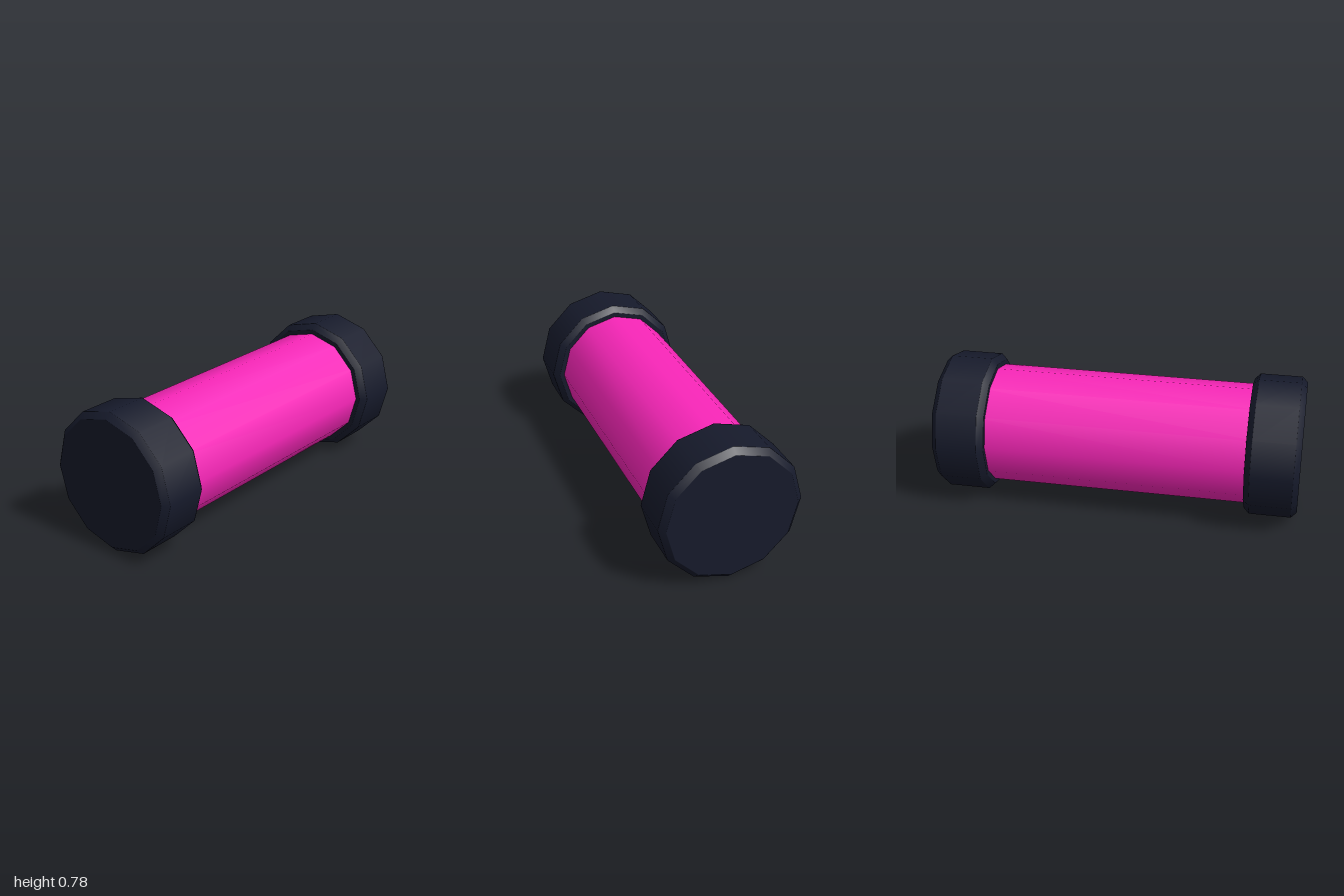
import * as THREE from 'three';

const SIDES = 12;
const CAP_R = 0.388, CAP_HALF = 0.145, BEVEL = 0.03, BODY_R = 0.33;

// Bevelled end cap: support points beside each edge keep the faces flat and the bevel soft
function capGeometry() {
  const s = 0.003, r = CAP_R, h = CAP_HALF, b = BEVEL;
  const half = [[0, h], [r - b - s, h], [r - b, h], [r, h - b], [r, h - b - s]];
  const lower = half.map(([x, y]) => new THREE.Vector2(x, -y));
  const upper = half.map(([x, y]) => new THREE.Vector2(x, y)).reverse();
  return new THREE.LatheGeometry([...lower, ...upper], SIDES).rotateX(Math.PI / 2);
}

export function createModel() {
  const group = new THREE.Group();
  const pink = new THREE.MeshStandardMaterial({ color: 0xf926b9 });
  const dark = new THREE.MeshStandardMaterial({ color: 0x161a2b });

  // Long tube lying along z, its ends sunk into the caps
  const tube = new THREE.Mesh(
    new THREE.CylinderGeometry(BODY_R, BODY_R, 1.6, SIDES).rotateX(Math.PI / 2), pink);
  tube.name = 'tube';
  tube.position.y = CAP_R;
  group.add(tube);

  // Matching caps at the front and back
  const geometry = capGeometry();
  for (const [name, side] of [['frontCap', 1], ['backCap', -1]]) {
    const cap = new THREE.Mesh(geometry, dark);
    cap.name = name;
    cap.position.set(0, CAP_R, side * (1 - CAP_HALF));
    group.add(cap);
  }
  return group;
}
